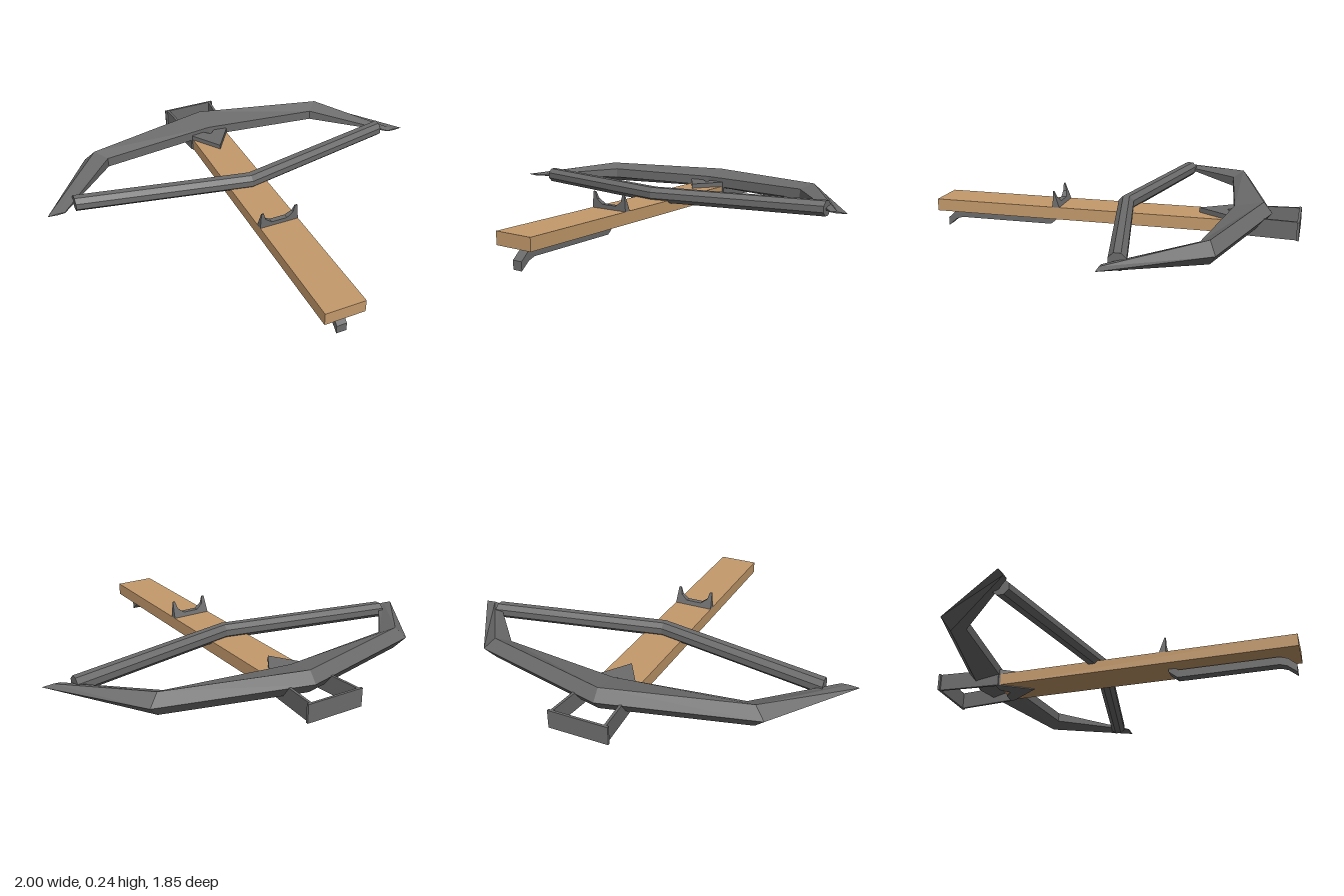
import * as THREE from 'three';

const wood = new THREE.MeshStandardMaterial({ color: 0xc49a6c, flatShading: true });
wood.name = 'tan wood';
const metal = new THREE.MeshStandardMaterial({ color: 0x6c6c6c, flatShading: true });
metal.name = 'grey metal';

function part(name, geometry, material) {
  const mesh = new THREE.Mesh(geometry, material);
  mesh.name = name;
  return mesh;
}

// Skin a row of equal rings running from -x to +x and close both ends
function loft(rings) {
  const pos = [];
  const n = rings[0].length;
  const tri = (...pts) => pts.forEach((p) => pos.push(...p));
  for (let i = 0; i < rings.length - 1; i++) {
    for (let j = 0; j < n; j++) {
      const k = (j + 1) % n;
      const [a, b, c, d] = [rings[i][j], rings[i][k], rings[i + 1][k], rings[i + 1][j]];
      tri(a, b, c);
      tri(a, c, d);
    }
  }
  const first = rings[0], last = rings[rings.length - 1];
  for (let j = 1; j < n - 1; j++) {
    tri(first[0], first[j + 1], first[j]);
    tri(last[0], last[j], last[j + 1]);
  }
  const g = new THREE.BufferGeometry();
  g.setAttribute('position', new THREE.Float32BufferAttribute(pos, 3));
  g.computeVertexNormals();
  return g;
}

function extrude(points, depth) {
  const shape = new THREE.Shape(points.map(([x, y]) => new THREE.Vector2(x, y)));
  return new THREE.ExtrudeGeometry(shape, { depth, bevelEnabled: false });
}

// Upright prism from an outline given in x and z
function prism(points, y0, y1) {
  return extrude(points.map(([x, z]) => [x, -z]), y1 - y0)
    .rotateX(-Math.PI / 2).translate(0, y0, 0);
}

export function createModel() {
  const group = new THREE.Group();
  group.name = 'crossbow';

  // Wooden stock
  group.add(part('stock', new THREE.BoxGeometry(0.2, 0.062, 1.535).translate(0, 0.131, 0.158), wood));

  // Bow limbs: outer edge, ridge and inner edge per section, with ridge and inner half heights
  const limb = (outer, ridge, inner, h, e) => {
    const y = 0.182;
    return [
      [outer[0], y, outer[1]],
      [ridge[0], y + h, ridge[1]],
      [inner[0], y + e, inner[1]],
      [inner[0], y - e, inner[1]],
      [ridge[0], y - h, ridge[1]],
    ];
  };
  const half = [
    limb([0, -0.793], [0, -0.75], [0, -0.61], 0.053, 0.025),
    limb([0.705, -0.615], [0.655, -0.585], [0.6, -0.535], 0.053, 0.025),
    limb([1, -0.193], [0.95, -0.193], [0.915, -0.193], 0.004, 0.002),
  ];
  const mirror = (ring) => ring.map(([x, y, z]) => [-x, y, z]);
  group.add(part('bowLimbs', loft([mirror(half[2]), mirror(half[1]), ...half]), metal));

  // Thick octagonal bowstring, bent in the middle
  const stringRing = (x, z) => Array.from({ length: 8 }, (_, i) => {
    const a = (i + 0.5) * Math.PI / 4;
    return [x, 0.185 + 0.04 * Math.sin(a), z - 0.042 * Math.cos(a)];
  });
  group.add(part('bowstring', loft([
    stringRing(-0.855, -0.248), stringRing(0.01, -0.07), stringRing(0.875, -0.248),
  ]), metal));

  // Foot stirrup at the nose
  group.add(part('stirrup', prism([
    [-0.108, -0.6], [-0.134, -0.915], [-0.145, -0.915], [-0.145, -0.927],
    [0.145, -0.927], [0.145, -0.915], [0.134, -0.915], [0.108, -0.6],
    [0.094, -0.6], [0.122, -0.915], [-0.122, -0.915], [-0.094, -0.6],
  ], 0.097, 0.185), metal));

  // Pointed bracket clasping the end of the stock
  group.add(part('noseBracket', prism([
    [-0.102, -0.615], [-0.1, -0.59], [0, -0.44], [0.1, -0.59], [0.102, -0.615],
    [0.04, -0.615], [0, -0.575], [-0.04, -0.615],
  ], 0.096, 0.186), metal));

  // Notched rear sight, its back leaning forward into thin horns
  const side = [[0.1, 0.16], [0.094, 0.243], [0.082, 0.243], [0.072, 0.207], [0.04, 0.183]];
  const sight = extrude([...side, ...side.map(([x, y]) => [-x, y]).reverse()], 1);
  const p = sight.attributes.position;
  for (let i = 0; i < p.count; i++) {
    const back = 0.255 + (p.getY(i) - 0.16) * 0.36;
    p.setZ(i, p.getZ(i) > 0.5 ? 0.29 : back);
  }
  sight.computeVertexNormals();
  group.add(part('rearSight', sight, metal));

  // Trigger lever under the stock, profile in z and y
  const lever = extrude([
    [0.905, 0], [0.905, 0.042], [0.865, 0.078], [0.825, 0.09], [0.335, 0.09], [0.31, 0.108],
    [0.285, 0.108], [0.285, 0.085], [0.328, 0.05], [0.825, 0.05], [0.86, 0.038],
  ], 0.05).rotateY(-Math.PI / 2).translate(0.025, 0, 0);
  group.add(part('triggerLever', lever, metal));

  return group;
}
